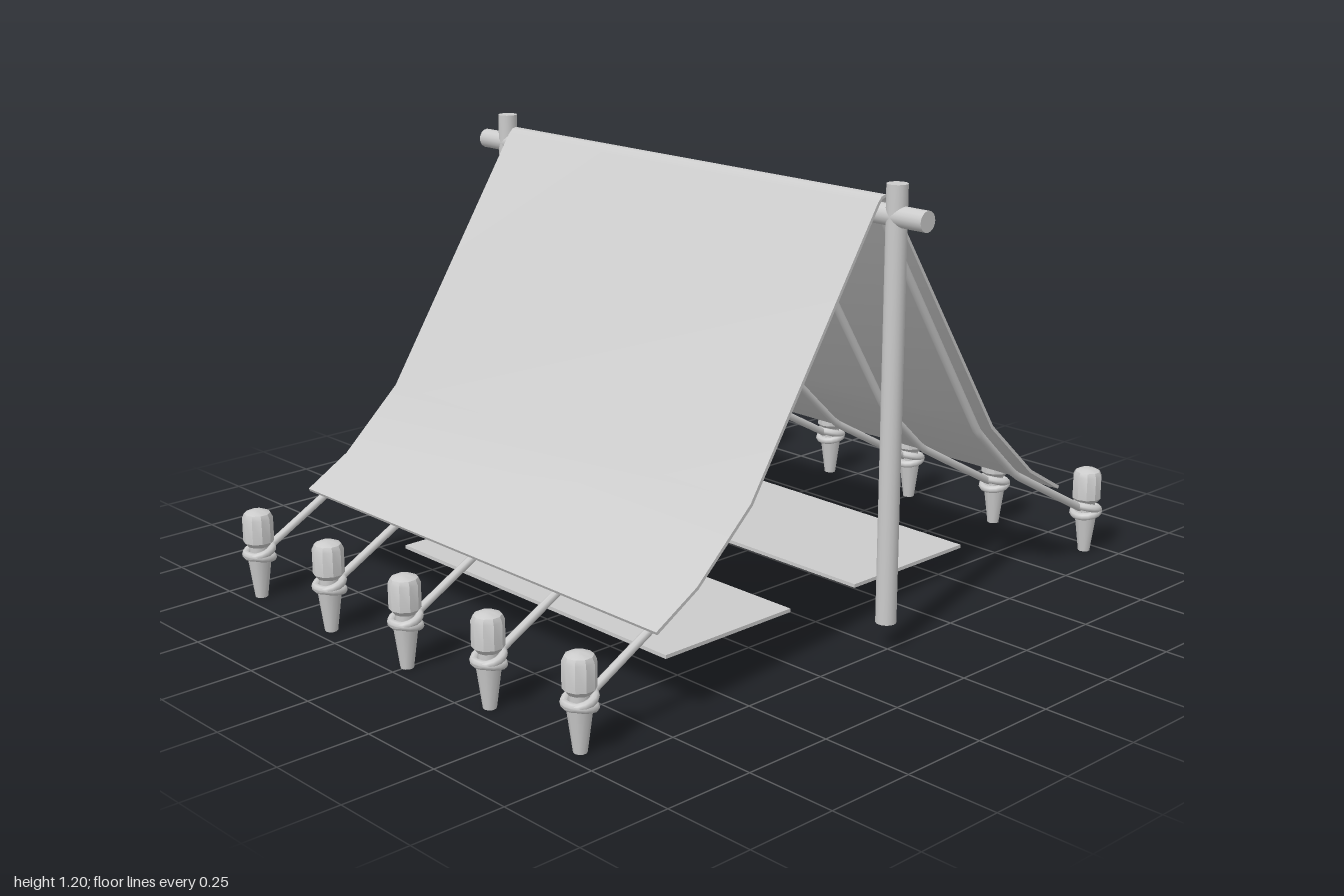
import * as THREE from 'three';
import { toCreasedNormals } from 'three/addons/utils/BufferGeometryUtils.js';

const material = new THREE.MeshStandardMaterial({ color: 0xcccccc });

// One side of the tent section as [z, y], from ridge to hem
const canvasOuter = [[0, 1.17], [0.014, 1.166], [0.027, 1.152], [0.455, 0.488], [0.63, 0.326], [0.76, 0.25]];
const canvasInner = [[0, 1.162], [0.011, 1.159], [0.021, 1.146], [0.448, 0.482], [0.625, 0.319], [0.756, 0.242]];
const ropeSide = [[0, 1.15], [0.02, 1.135], [0.443, 0.468], [0.617, 0.304], [0.925, 0.135]];

// Mirrors a half section into a full one running from -z to +z
const mirrored = (half) => [
  ...half.slice(1).reverse().map(([z, y]) => [-z, y]),
  ...half,
];

export function createModel() {
  const model = new THREE.Group();
  model.name = 'tent';

  const add = (name, geometry, x = 0, y = 0, z = 0, parent = model) => {
    const mesh = new THREE.Mesh(geometry, material);
    mesh.name = name;
    mesh.position.set(x, y, z);
    parent.add(mesh);
    return mesh;
  };

  // Canvas: a thin folded sheet extruded along the ridge
  const outline = [...mirrored(canvasOuter), ...mirrored(canvasInner).reverse()];
  const shape = new THREE.Shape(outline.map(([z, y]) => new THREE.Vector2(z, y)));
  const sheet = new THREE.ExtrudeGeometry(shape, { depth: 1.41, bevelEnabled: false });
  sheet.translate(0, 0, -0.705).rotateY(Math.PI / 2);
  add('canvas', toCreasedNormals(sheet, 0.8));

  // Ridge pole and the two uprights
  const ridge = new THREE.CylinderGeometry(0.027, 0.027, 1.68, 16).rotateZ(Math.PI / 2);
  add('ridgePole', ridge, 0, 1.122, 0);
  const post = new THREE.CylinderGeometry(0.027, 0.027, 1.13, 16);
  for (const side of [-1, 1]) add('post', post, side * 0.742, 0.637, 0);

  // Sleeping mats
  const mat = new THREE.BoxGeometry(1.06, 0.01, 0.438);
  add('frontMat', mat, 0, 0.077, 0.348);
  add('backMat', mat, 0, 0.077, -0.336);

  // Ropes under the canvas, each running over the ridge to a pair of pegs
  const ropePath = new THREE.CatmullRomCurve3(
    mirrored(ropeSide).map(([z, y]) => new THREE.Vector3(0, y, z)), false, 'catmullrom', 0.05);
  const rope = new THREE.TubeGeometry(ropePath, 100, 0.011, 8);

  // Peg parts: tapered spike, waist, faceted head with a domed cap
  const spike = new THREE.CylinderGeometry(0.033, 0.017, 0.12, 10);
  const waist = new THREE.CylinderGeometry(0.026, 0.026, 0.06, 10);
  const headProfile = [[0, 0.147], [0.03, 0.147], [0.041, 0.16], [0.041, 0.226], [0.035, 0.239], [0.02, 0.246], [0, 0.248]];
  const head = toCreasedNormals(
    new THREE.LatheGeometry(headProfile.map(([r, y]) => new THREE.Vector2(r, y)), 10), 0.5);
  const loop = new THREE.TorusGeometry(0.036, 0.011, 8, 16).rotateX(Math.PI / 2);

  for (let i = -2; i <= 2; i++) {
    const x = i * 0.33;
    add('rope', rope, x);
    for (const side of [-1, 1]) {
      const peg = new THREE.Group();
      peg.name = 'peg';
      peg.position.set(x, 0, side * 0.955);
      model.add(peg);
      add('spike', spike, 0, 0.06, 0, peg);
      add('waist', waist, 0, 0.13, 0, peg);
      add('head', head, 0, 0, 0, peg);
      // Two crossing turns of rope around the waist
      add('ropeLoop', loop, 0, 0.132, 0, peg).rotation.x = side * 0.28;
      add('ropeLoop', loop, 0, 0.118, 0, peg).rotation.x = side * -0.2;
    }
  }
  return model;
}
